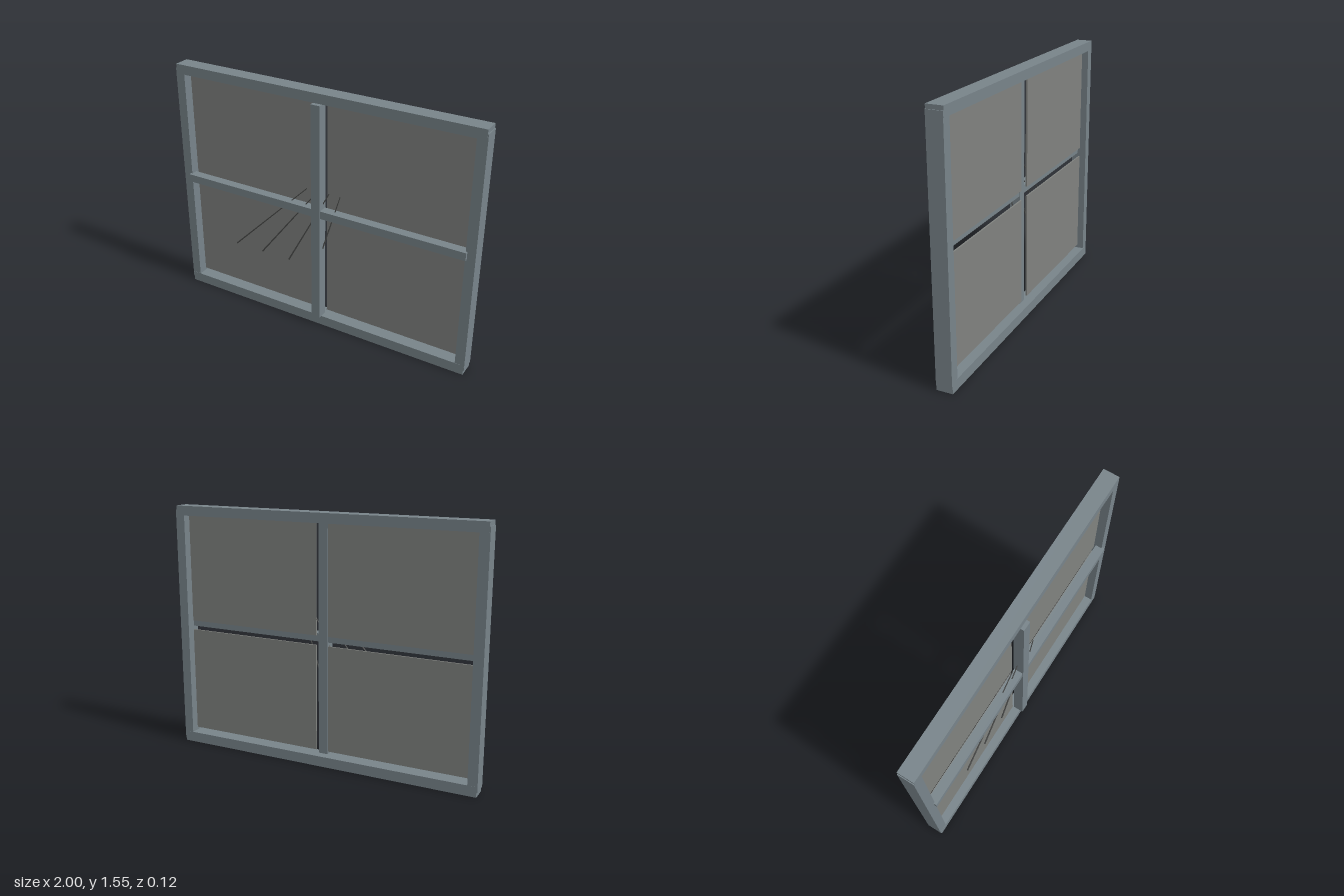
import * as THREE from 'three';

const frameMat = new THREE.MeshStandardMaterial({ color: 0x78848a });
const paneMat = new THREE.MeshStandardMaterial({ color: 0x80827f });
const streakMat = new THREE.MeshStandardMaterial({ color: 0x4a4b4a });

// Box given by its [min, max] range on each axis
function box(name, [x0, x1], [y0, y1], [z0, z1], material) {
  const mesh = new THREE.Mesh(new THREE.BoxGeometry(x1 - x0, y1 - y0, z1 - z0), material);
  mesh.position.set((x0 + x1) / 2, (y0 + y1) / 2, (z0 + z1) / 2);
  mesh.name = name;
  return mesh;
}

// Thin tapered rod between two points
function rod(name, bottom, top, rBottom, rTop, material) {
  const dir = top.clone().sub(bottom);
  const mesh = new THREE.Mesh(new THREE.CylinderGeometry(rTop, rBottom, dir.length(), 6), material);
  mesh.position.copy(bottom).add(top).multiplyScalar(0.5);
  mesh.quaternion.setFromUnitVectors(new THREE.Vector3(0, 1, 0), dir.normalize());
  mesh.name = name;
  return mesh;
}

export function createModel() {
  const model = new THREE.Group();
  model.name = 'window';

  // Outer frame: two rails and two slightly wider-set posts
  const frame = new THREE.Group();
  frame.name = 'frame';
  const depth = [-0.06, 0.04];
  frame.add(
    box('topRail', [-0.995, 0.995], [1.495, 1.555], depth, frameMat),
    box('bottomRail', [-0.995, 0.995], [0, 0.065], depth, frameMat),
    box('rightPost', [-1, -0.94], [0.03, 1.53], [-0.059, 0.039], frameMat),
    box('leftPost', [0.94, 1], [0.03, 1.53], [-0.059, 0.039], frameMat)
  );
  model.add(frame);

  // Crossing bars, standing proud of the frame
  model.add(
    box('mullion', [-0.03, 0.03], [0.065, 1.492], [-0.005, 0.061], frameMat),
    box('crossbar', [-0.95, 0.95], [0.78, 0.83], [-0.002, 0.057], frameMat)
  );

  // Four thin panes
  for (const x of [[-0.93, -0.04], [0.04, 0.93]]) {
    for (const y of [[0.09, 0.76], [0.82, 1.49]]) {
      model.add(box('pane', x, y, [-0.02, -0.01], paneMat));
    }
  }

  // Slanting streaks that fan out downwards in front of the panes
  const streaks = new THREE.Group();
  streaks.name = 'streaks';
  for (let i = 0; i < 4; i++) {
    const bottom = new THREE.Vector3(-0.62 + 0.2 * i, 0.4, 0.022);
    const top = new THREE.Vector3(-0.08 + 0.075 * i, 0.94, 0.02);
    streaks.add(rod('streak', bottom, top, 0.005, 0.003, streakMat));
  }
  model.add(streaks);

  return model;
}
